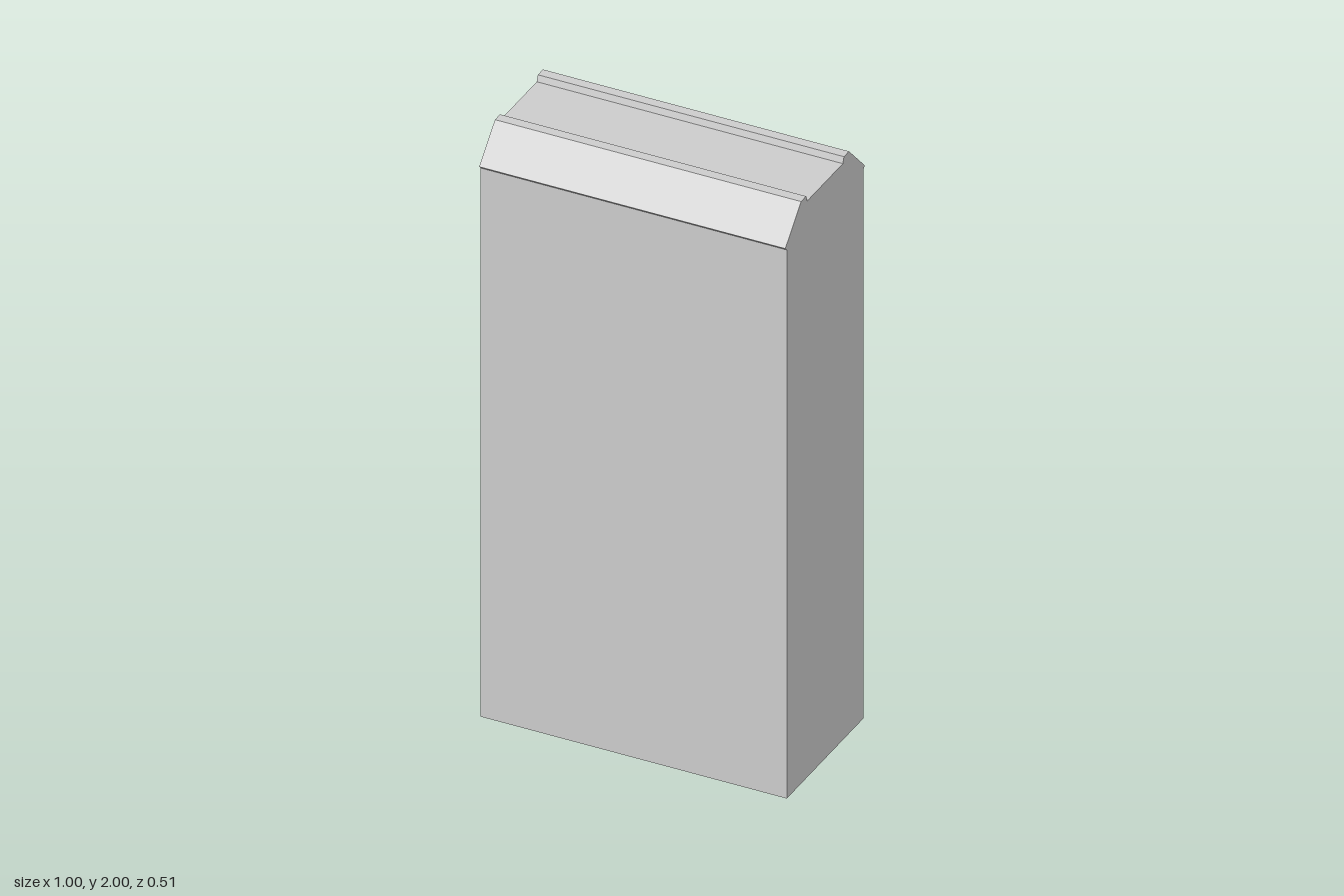
import * as THREE from 'three';

const WIDTH = 1;

// Half of the side profile as [depth, height], from the foot up to the groove floor
const HALF_PROFILE = [
  [0.247, 0],
  [0.247, 1.885], // underside of the overhanging lip
  [0.257, 1.895], // lip edge
  [0.155, 2],     // top of the bevel
  [0.122, 2],     // inner edge of the rim
  [0.115, 1.98],  // groove floor
];

export function createModel() {
  const group = new THREE.Group();
  group.name = 'groovedBlock';

  // Mirror the half profile to close the outline
  const front = HALF_PROFILE.map(([z, y]) => new THREE.Vector2(z, y));
  const back = HALF_PROFILE.map(([z, y]) => new THREE.Vector2(-z, y)).reverse();
  const shape = new THREE.Shape([...front, ...back]);

  // Run the profile along x
  const geometry = new THREE.ExtrudeGeometry(shape, { depth: WIDTH, bevelEnabled: false });
  geometry.translate(0, 0, -WIDTH / 2);
  geometry.rotateY(-Math.PI / 2);

  const material = new THREE.MeshStandardMaterial({ color: 0xcccccc, flatShading: true });
  const block = new THREE.Mesh(geometry, material);
  block.name = 'blockWithBevelledGroovedTop';
  group.add(block);

  return group;
}
